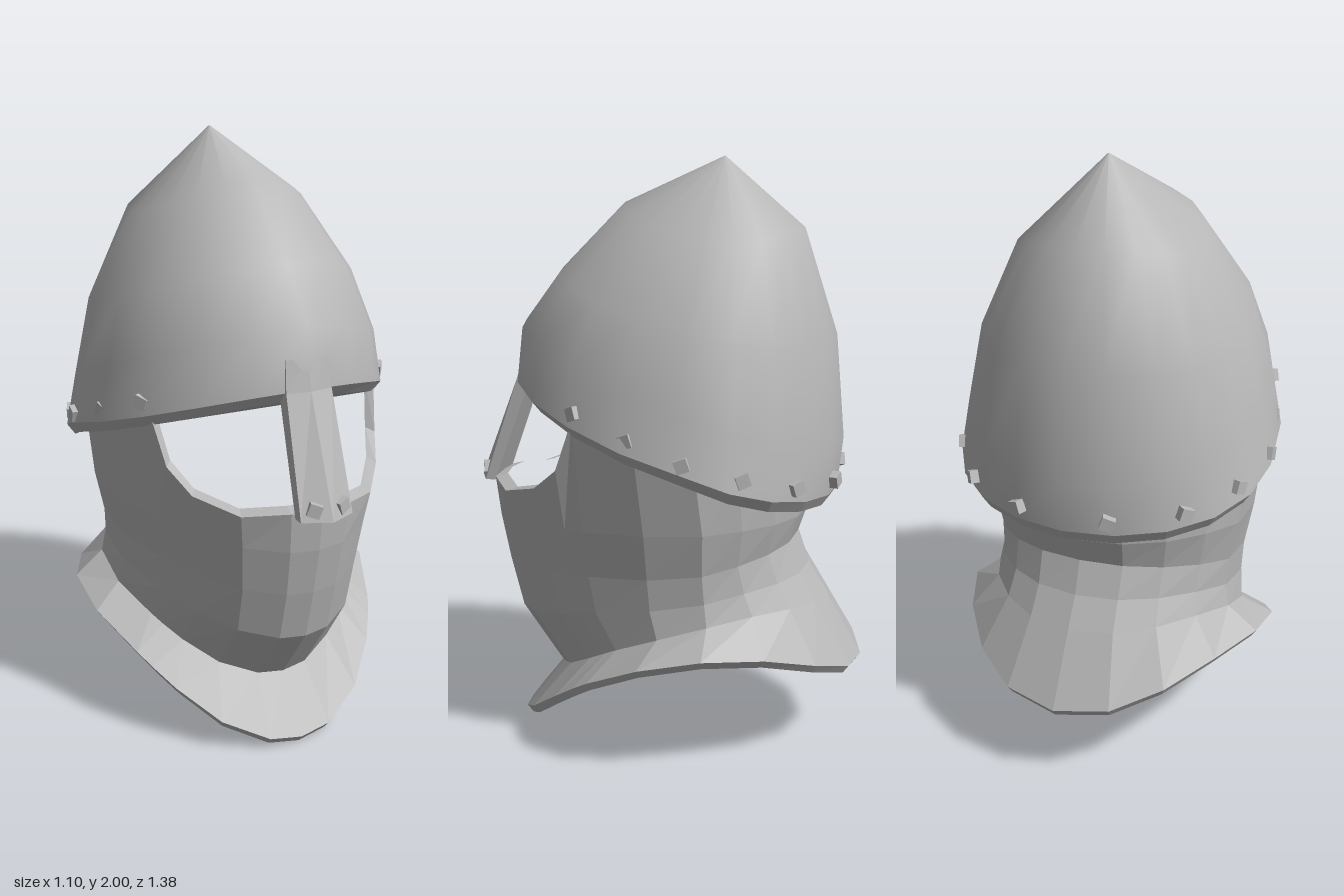
import * as THREE from 'three';

const ZC = -0.12; // axis the shells are inset towards

// Egg-shaped tilted ring: front z/y, back z/y, half width, side y, side z.
// pinch narrows the diagonals so that front and back become more pointed.
function ring(angles, [fz, fy, bz, by, w, sy, sz = -0.13], pinch = 0) {
  return angles.map((deg) => {
    const a = THREE.MathUtils.degToRad(deg);
    const c = Math.cos(a);
    const x = w * Math.sin(a) * (1 - pinch * Math.abs(Math.sin(2 * a)));
    const y = sy + ((fy - by) / 2) * c + ((fy + by) / 2 - sy) * c * c;
    const z = sz + (c > 0 ? fz - sz : sz - bz) * c;
    return new THREE.Vector3(x, y, z);
  });
}

// Copy of a ring shrunk towards the axis
const inset = (row, s, dy = 0) =>
  row.map((p) => new THREE.Vector3(p.x * s, p.y + dy, ZC + (p.z - ZC) * s));

// Skin closed rings ordered from bottom to top
function loft(rows, flat = false) {
  const n = rows[0].length;
  const index = [];
  for (let r = 0; r < rows.length - 1; r++) {
    for (let i = 0; i < n; i++) {
      const j = (i + 1) % n;
      const [a, b, c, d] = [r * n + i, r * n + j, (r + 1) * n + j, (r + 1) * n + i];
      index.push(a, b, c, a, c, d);
    }
  }
  let geo = new THREE.BufferGeometry().setFromPoints(rows.flat());
  geo.setIndex(index);
  if (flat) geo = geo.toNonIndexed();
  geo.computeVertexNormals();
  return geo;
}

// Downward-facing cover made of strips between mirrored points of a ring
function cover(row, strips) {
  const n = row.length;
  const index = [];
  for (let i = 0; i < strips; i++) {
    const [a, b, c, d] = [i, i + 1, n - i - 1, (n - i) % n];
    index.push(a, c, b, a, d, c);
  }
  const geo = new THREE.BufferGeometry().setFromPoints(row);
  geo.setIndex(index);
  geo.computeVertexNormals();
  return geo;
}

export function createModel() {
  const group = new THREE.Group();
  const steel = new THREE.MeshStandardMaterial({ color: 0xb8b8b8 });
  steel.name = 'steel grey';
  const add = (name, geo) => {
    const mesh = new THREE.Mesh(geo, steel);
    mesh.name = name;
    group.add(mesh);
    return mesh;
  };

  // Pointed skull dome
  const domeAngles = Array.from({ length: 20 }, (_, i) => i * 18);
  const dome = [
    [0.525, 1.265, -0.59, 0.9, 0.545, 1.035, -0.15],
    [0.505, 1.45, -0.607, 1.07, 0.505, 1.22, -0.14],
    [0.37, 1.63, -0.575, 1.42, 0.445, 1.46, -0.14],
    [0.15, 1.85, -0.46, 1.77, 0.3, 1.73, -0.17],
    [-0.188, 2, -0.192, 2, 0.002, 2, -0.19],
  ].map((p) => ring(domeAngles, p));
  add('dome', loft(dome));

  // Bevelled rim under the dome and the ceiling behind the brow
  const rim = inset(dome[0], 0.95, -0.038);
  add('domeRim', loft([rim, dome[0]], true));
  add('browCeiling', cover(rim, 4));

  // Nose guard with a shallow central ridge, flowing out of the dome
  const guardRow = (y, z, w, ridge, depth) =>
    [[0, z], [w, z - ridge], [w, z - depth], [-w, z - depth], [-w, z - ridge]]
      .map(([x, zz]) => new THREE.Vector3(x, y, zz));
  const tip = guardRow(0.885, 0.685, 0.092, 0.04, 0.075);
  const end = tip.map(() => new THREE.Vector3(0, 0.885, 0.64));
  add('noseGuard', loft([
    end, tip,
    guardRow(1.26, 0.532, 0.08, 0.013, 0.06),
    guardRow(1.36, 0.51, 0.075, 0.008, 0.05),
  ], true));

  // Neck and face guard; its top edge dips to form the eye openings
  const half = [0, 12, 30, 47, 56, 62, 80, 100, 120, 140, 160, 180];
  const angles = [...half, ...half.slice(1, -1).reverse().map((a) => 360 - a)];
  const top = ring(angles, [0.62, 0.9, -0.5, 0.95, 0.505, 1.0, -0.1], 0.08);
  const brow = [0.9, 0.9, 0.885, 0.925, 1.0];
  top.forEach((p, i) => {
    const k = Math.min(i, top.length - i);
    p.y = k < brow.length ? brow[k] : 0.9 + (p.z + 0.59) * 0.315 + 0.01;
  });
  const guard = [
    [0.52, 0.028, -0.69, 0.29, 0.56, 0.42, -0.1],
    [0.38, 0.21, -0.56, 0.52, 0.455, 0.49],
    [0.53, 0.42, -0.5, 0.62, 0.44, 0.57],
    [0.575, 0.6, -0.46, 0.73, 0.445, 0.67],
    [0.605, 0.76, -0.49, 0.82, 0.475, 0.82],
  ].map((p) => ring(angles, p, 0.08));
  const hem = inset(guard[0], 0.965, -0.028);
  add('neckGuard', loft([hem, ...guard, top, inset(top, 0.94, 0.012)], true));

  // Arched cover closing the underside
  add('underside', cover(hem, half.length - 1));

  // Square rivets, open at the back, along the rim and on the nose guard
  const stud = new THREE.BoxGeometry(0.042, 0.042, 0.032);
  stud.setIndex(Array.from(stud.index.array).slice(0, 30));
  const rivets = [
    [0.435, 1.2, 0.225], [0.498, 1.13, 0.04], [0.535, 1.07, -0.14],
    [0.488, 1.02, -0.32], [0.368, 0.975, -0.478], [0.155, 0.955, -0.588],
    [0.048, 0.922, 0.648],
  ];
  for (const side of [1, -1]) {
    for (const [x, y, z] of rivets) {
      const rivet = add('rivet', stud);
      rivet.position.set(side * x, y, z);
      rivet.rotation.set(0, side * Math.atan2(x * (z > 0.5 ? 6 : 1), z - ZC), side * 0.35, 'YXZ');
    }
  }
  return group;
}
